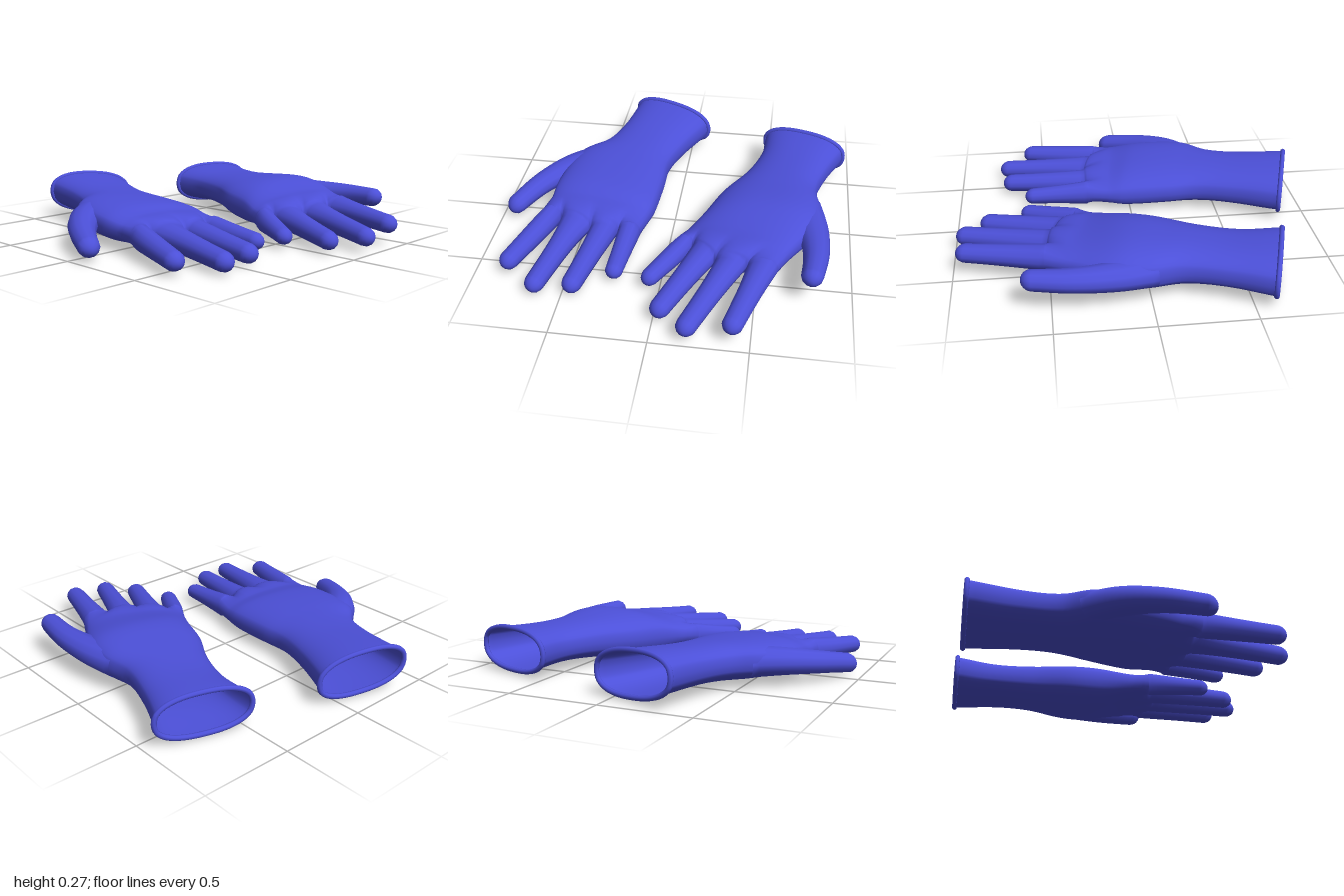
import * as THREE from 'three';
import { mergeVertices } from 'three/addons/utils/BufferGeometryUtils.js';

const M = 6;          // segments across the top of one finger
const N = 4 * M;      // segments across the top of the palm
const lerp = THREE.MathUtils.lerp;

// Plan points are [x, z]. Palm rows run from cuff to knuckles as left x, left z,
// right x, right z. The height of the mid-surface is a + bx + cz + dxz.
const rightGlove = {
  name: 'rightGlove',
  palm: [
    [-0.377, -0.975, 0.1, -0.825],
    [-0.435, -0.7, -0.02, -0.57],
    [-0.51, -0.52, -0.085, -0.37],
    [-0.64, -0.39, -0.09, -0.2],
    [-0.71, -0.1, -0.11, 0.05],
    [-0.715, 0.06, -0.13, 0.14],
  ],
  thickness: [0.115, 0.102, 0.104, 0.108, 0.085],
  height: [0.102, -0.025, -0.0445, 0.04],
  webs: [[-0.735, 0.17], [-0.62, 0.19], [-0.44, 0.26], [-0.285, 0.26], [-0.16, 0.25]],
  tips: [[-0.835, 0.615], [-0.65, 0.765], [-0.455, 0.745], [-0.25, 0.615]],
  little: 3,
  thumb: [[-0.52, -0.36], [-0.68, -0.26], [-0.81, -0.12], [-0.945, 0.115]],
  thumbLift: -0.045,
};
const leftGlove = {
  name: 'leftGlove',
  palm: [
    [0.475, -0.735, 0.955, -0.585],
    [0.46, -0.53, 0.86, -0.37],
    [0.38, -0.3, 0.8, -0.15],
    [0.26, -0.1, 0.825, 0.03],
    [0.175, 0.1, 0.8, 0.2],
    [0.1, 0.24, 0.67, 0.42],
  ],
  thickness: [0.115, 0.102, 0.115, 0.126, 0.088],
  height: [0.112, 0.057, -0.051, 0.0875],
  webs: [[0.055, 0.31], [0.145, 0.36], [0.275, 0.47], [0.445, 0.51], [0.61, 0.53]],
  tips: [[-0.075, 0.635], [0.015, 0.865], [0.165, 0.99], [0.395, 0.98]],
  little: 0,
  thumb: [[0.72, 0], [0.775, 0.18], [0.8, 0.4], [0.775, 0.645]],
  thumbLift: 0.01,
};

// Closed section: over the top from left to right, then back underneath
function section(center, side, h, n, profile) {
  const pts = [];
  for (let j = 0; j < 2 * n; j++) {
    const [t, y] = profile(j <= n ? j / n : (2 * n - j) / n);
    const p = center.clone().addScaledVector(side, t);
    p.y += (j <= n ? 1 : -1) * h * y;
    pts.push(p);
  }
  return pts;
}
const round = (u) => [-Math.cos(Math.PI * u), Math.sin(Math.PI * u)];
const flat = (u) => {
  const t = lerp(2 * u - 1, -Math.cos(Math.PI * u), 0.7);
  return [t, Math.pow(Math.max(0, 1 - Math.abs(t) ** 2.4), 1 / 2.4)];
};

// Joins consecutive closed sections with quads
function skin(rows, out) {
  for (let i = 0; i + 1 < rows.length; i++) {
    const n = rows[i].length;
    for (let j = 0; j < n; j++) {
      const k = (j + 1) % n;
      const a = rows[i][j], b = rows[i][k], c = rows[i + 1][k], d = rows[i + 1][j];
      for (const p of [a, d, c, a, c, b]) out.push(p.x, p.y, p.z);
    }
  }
}

// Sections of a finger or thumb along a path, from a wide base to a domed tip
function limb(path, baseHalf, h0, r, fall) {
  const curve = new THREE.CatmullRomCurve3(path);
  const w0 = baseHalf.length();
  const baseSide = baseHalf.clone().normalize();
  const stations = [];
  const end = 1 - r / curve.getLength();
  for (let i = 0; i <= 18; i++) stations.push([(end * i) / 18, 1]);
  for (let i = 1; i <= 6; i++) {
    const a = (Math.PI / 2) * (i / 6);
    stations.push([end + (1 - end) * Math.sin(a), i === 6 ? 0 : Math.cos(a)]);
  }
  return stations.map(([s, dome]) => {
    const d = curve.getTangentAt(s);
    const q = (1 - s) ** fall;
    const side = new THREE.Vector3(d.z, 0, -d.x).normalize().lerp(baseSide, q).normalize();
    const w = lerp(r * (1 + 0.3 * (1 - s)), w0, q) * dome;
    const h = lerp(r * 0.95, h0, (1 - s) ** 1.5) * dome;
    return section(curve.getPointAt(s), side.multiplyScalar(w), h, M, round);
  });
}

function smoothMesh(name, positions, material) {
  let geo = new THREE.BufferGeometry();
  geo.setAttribute('position', new THREE.Float32BufferAttribute(positions, 3));
  geo = mergeVertices(geo, 1e-4);
  geo.computeVertexNormals();
  const mesh = new THREE.Mesh(geo, material);
  mesh.name = name;
  return mesh;
}

function buildGlove(g, material) {
  const glove = new THREE.Group();
  glove.name = g.name;
  const [a, b, c, d] = g.height;
  const place = ([x, z]) => new THREE.Vector3(x, a + b * x + c * z + d * x * z, z);

  // Sleeve and palm
  const leftEdge = new THREE.CatmullRomCurve3(g.palm.map((r) => place(r.slice(0, 2))));
  const rightEdge = new THREE.CatmullRomCurve3(g.palm.map((r) => place(r.slice(2))));
  const thickness = new THREE.SplineCurve(g.thickness.map((h) => new THREE.Vector2(h, 0)));
  const rows = [];
  for (let i = 0; i <= 32; i++) {
    const left = leftEdge.getPoint(i / 32), right = rightEdge.getPoint(i / 32);
    const side = right.clone().sub(left).multiplyScalar(0.5);
    rows.push(section(left.add(side), side, thickness.getPoint(i / 32).x, N, flat));
  }

  // Fingers, whose first sections meet at the webs
  const webs = g.webs.map(place);
  const fingers = g.tips.map((tip, f) => {
    const half = webs[f + 1].clone().sub(webs[f]).multiplyScalar(0.5);
    const path = [webs[f].clone().add(half), place(tip)];
    return limb(path, half, 0.068, f === g.little ? 0.046 : 0.052, 5);
  });

  // Knuckles: the last palm section divides into the four finger bases
  const split = [];
  for (let j = 0; j < 2 * N; j++) {
    const k = j <= N ? j : 2 * N - j;
    const f = Math.min(3, Math.floor(k / M)), m = k - f * M;
    split.push(fingers[f][0][j <= N ? m : (2 * M - m) % (2 * M)]);
  }
  const last = rows[rows.length - 1];
  for (const e of [0.2, 0.4, 0.6, 0.75, 0.87, 0.95, 1]) {
    const dip = 1 - Math.sqrt(1 - e * e);
    rows.push(last.map((p, j) => {
      const q = p.clone().lerp(split[j], e);
      q.y = lerp(p.y, split[j].y, dip);
      return q;
    }));
  }
  const hand = [];
  skin(rows, hand);
  fingers.forEach((f) => skin(f, hand));
  glove.add(smoothMesh('handAndFingers', hand, material));

  // Thumb, growing out of the side of the palm
  const path = g.thumb.map(place);
  path.forEach((p, i) => { p.y += g.thumbLift * (i / 3) ** 2; });
  const along = path[1].clone().sub(path[0]);
  const half = new THREE.Vector3(along.z, 0, -along.x).setLength(0.115);
  const thumb = [];
  skin(limb(path, half, 0.085, 0.056, 2), thumb);
  glove.add(smoothMesh('thumb', thumb, material));

  // Rolled bead around the cuff opening
  const rim = new THREE.CatmullRomCurve3(rows[0], true);
  const bead = new THREE.Mesh(new THREE.TubeGeometry(rim, 96, 0.014, 8, true), material);
  bead.name = 'cuffBead';
  glove.add(bead);
  return glove;
}

export function createModel() {
  const model = new THREE.Group();
  model.name = 'pairOfGloves';
  const material = new THREE.MeshStandardMaterial({ color: 0x4c50d8, side: THREE.DoubleSide });
  for (const g of [rightGlove, leftGlove]) model.add(buildGlove(g, material));
  return model;
}
